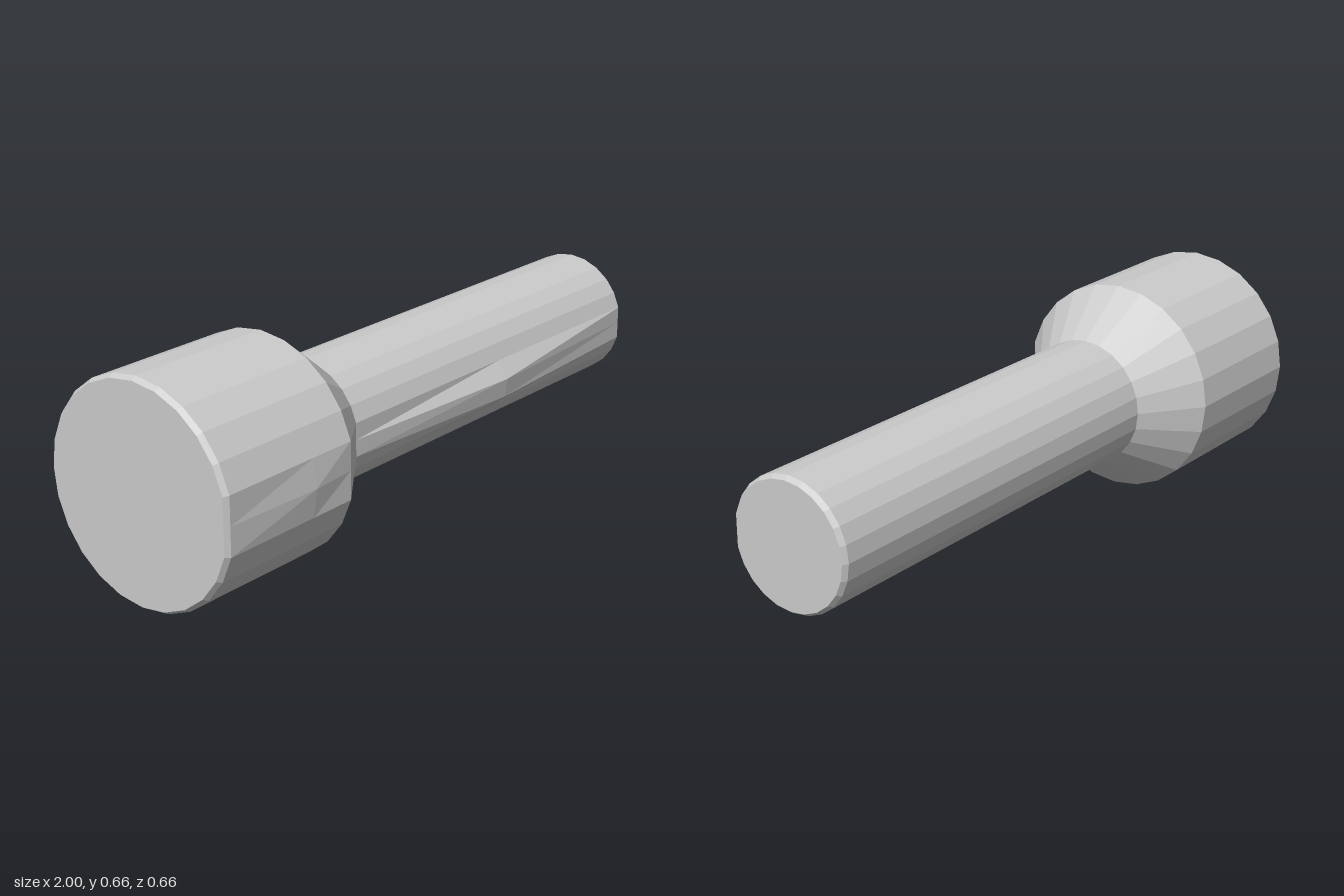
import * as THREE from 'three';

const SIDES = 24;
const AXIS_Y = 0.328;
const HEAD_R = 0.328;
const SHAFT_R = 0.195;

// Turned section along x from [x, radius] pairs; the +z side is slightly flattened
// everywhere except on the ring at ridgeX, where it swells by ridgeScale.
function turned(name, profile, material, ridgeX, ridgeScale = 1) {
  const points = profile.map(([x, r]) => new THREE.Vector2(r, x));
  const geometry = new THREE.LatheGeometry(points, SIDES);
  geometry.rotateZ(-Math.PI / 2);
  const p = geometry.attributes.position;
  const step = (Math.PI * 2) / SIDES;
  for (let i = 0; i < p.count; i++) {
    const x = p.getX(i), y = p.getY(i), z = p.getZ(i);
    if (Math.hypot(y, z) < 1e-4) continue;
    const side = Math.round(Math.atan2(y, z) / step);
    const onRidge = ridgeX !== undefined && Math.abs(x - ridgeX) < 1e-4;
    if (onRidge && (side === 0 || side === -1)) {
      p.setXYZ(i, x, y * ridgeScale, z * ridgeScale);
    } else if (!onRidge && side === 0) {
      p.setZ(i, z * Math.cos(step));
    }
  }
  geometry.computeVertexNormals();
  const mesh = new THREE.Mesh(geometry, material);
  mesh.name = name;
  mesh.position.y = AXIS_Y;
  return mesh;
}

export function createModel() {
  const group = new THREE.Group();
  group.name = 'steppedPin';
  const material = new THREE.MeshStandardMaterial({ color: 0xcccccc, flatShading: true });

  // Wide head with a closed, lightly bevelled end
  group.add(turned('head', [
    [-1, 0], [-1, HEAD_R - 0.01], [-0.985, HEAD_R], [-0.67, HEAD_R], [-0.52, HEAD_R],
  ], material, -0.67));

  // Cone joining head and shaft
  group.add(turned('taperedCollar', [[-0.52, HEAD_R], [-0.345, SHAFT_R]], material));

  // Long shaft with a shallow ridge on its front and a closed, bevelled end
  group.add(turned('shaft', [
    [-0.345, SHAFT_R], [0.32, SHAFT_R], [0.985, SHAFT_R], [1, SHAFT_R - 0.01], [1, 0],
  ], material, 0.32, 1.15));

  return group;
}
